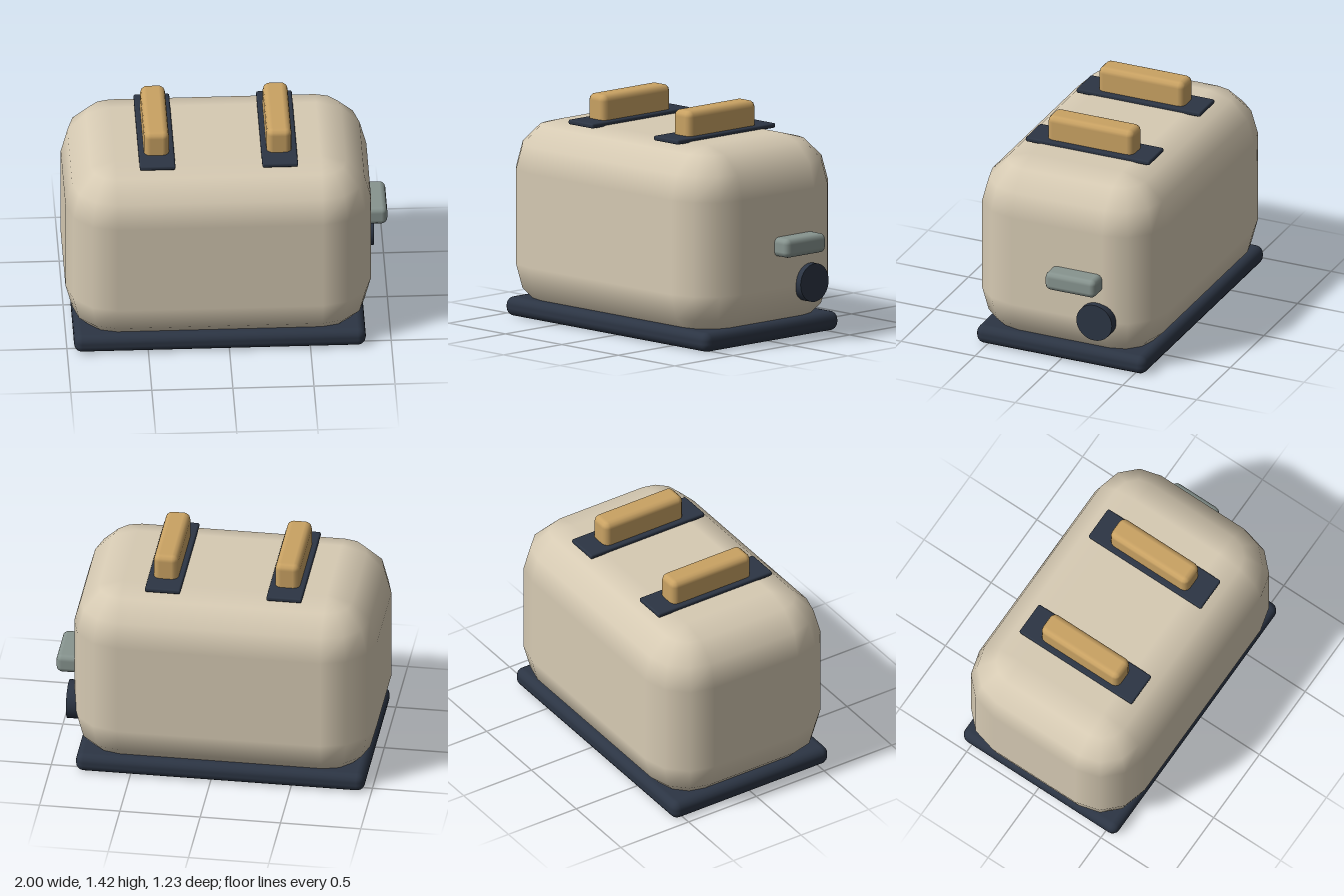
import * as THREE from 'three';

const mat = (name, color) => {
  const m = new THREE.MeshStandardMaterial({ color });
  m.name = name;
  return m;
};

// Box between min and max with every edge rounded to radius r, n chords per quarter turn
function roundedBox(min, max, r, n) {
  const mid = min.map((v, i) => (v + max[i]) / 2);
  const half = min.map((v, i) => (max[i] - v) / 2 - r);
  const q = Math.PI / 2, cols = 4 * (n + 1), rows = 2 * (n + 1);
  const pos = [], nor = [], idx = [];
  for (let j = 0; j < rows; j++) {
    const upper = j > n;
    const lat = upper ? q * (j - n - 1) / n : q * (j / n - 1);
    for (let i = 0; i < cols; i++) {
      const corner = Math.floor(i / (n + 1));
      const lon = q * (corner + (i % (n + 1)) / n);
      const d = [Math.cos(lat) * Math.cos(lon), Math.sin(lat), Math.cos(lat) * Math.sin(lon)];
      const s = [corner === 0 || corner === 3 ? 1 : -1, upper ? 1 : -1, corner < 2 ? 1 : -1];
      d.forEach((v, k) => pos.push(mid[k] + s[k] * half[k] + r * v));
      nor.push(...d);
    }
  }
  for (let j = 0; j < rows - 1; j++) {
    for (let i = 0; i < cols; i++) {
      const a = j * cols + i, b = j * cols + (i + 1) % cols;
      idx.push(a, a + cols, b, b, a + cols, b + cols);
    }
  }
  // Flat bottom and top
  const c = [0, 1, 2, 3].map(k => k * (n + 1)), t = (rows - 1) * cols;
  idx.push(c[0], c[1], c[2], c[0], c[2], c[3]);
  idx.push(t + c[0], t + c[2], t + c[1], t + c[0], t + c[3], t + c[2]);
  const g = new THREE.BufferGeometry();
  g.setAttribute('position', new THREE.Float32BufferAttribute(pos, 3));
  g.setAttribute('normal', new THREE.Float32BufferAttribute(nor, 3));
  g.setIndex(idx);
  return g;
}

export function createModel() {
  const group = new THREE.Group();
  group.name = 'toaster';
  const cream = mat('cream enamel', 0xd6cab3);
  const dark = mat('dark plastic', 0x2c3544);
  const crust = mat('toasted bread', 0xc9a263);
  const steel = mat('grey lever', 0x87948f);

  const add = (name, geometry, material) => {
    const m = new THREE.Mesh(geometry, material);
    m.name = name;
    group.add(m);
    return m;
  };

  add('body', roundedBox([-1, 0.03, -0.617], [0.885, 1.24, 0.617], 0.31, 3), cream);
  add('base', roundedBox([-0.957, 0, -0.575], [0.842, 0.12, 0.575], 0.05, 4), dark);

  // Two slots, each with a slice of bread
  for (const [side, x] of [['right', -0.436], ['left', 0.32]]) {
    add(side + 'Slot', roundedBox([x - 0.11, 1.232, -0.42], [x + 0.11, 1.262, 0.42], 0.011, 3), dark);
    add(side + 'Bread', roundedBox([x - 0.077, 1.1, -0.291], [x + 0.077, 1.418, 0.291], 0.04, 3), crust);
  }

  // Controls on the left end
  add('lever', roundedBox([0.8, 0.543, -0.308], [1, 0.663, 0.034], 0.035, 3), steel);
  const knob = add('knob', new THREE.CylinderGeometry(0.12, 0.12, 0.085, 32), dark);
  knob.rotation.z = -Math.PI / 2;
  knob.position.set(0.8825, 0.347, -0.272);

  return group;
}
